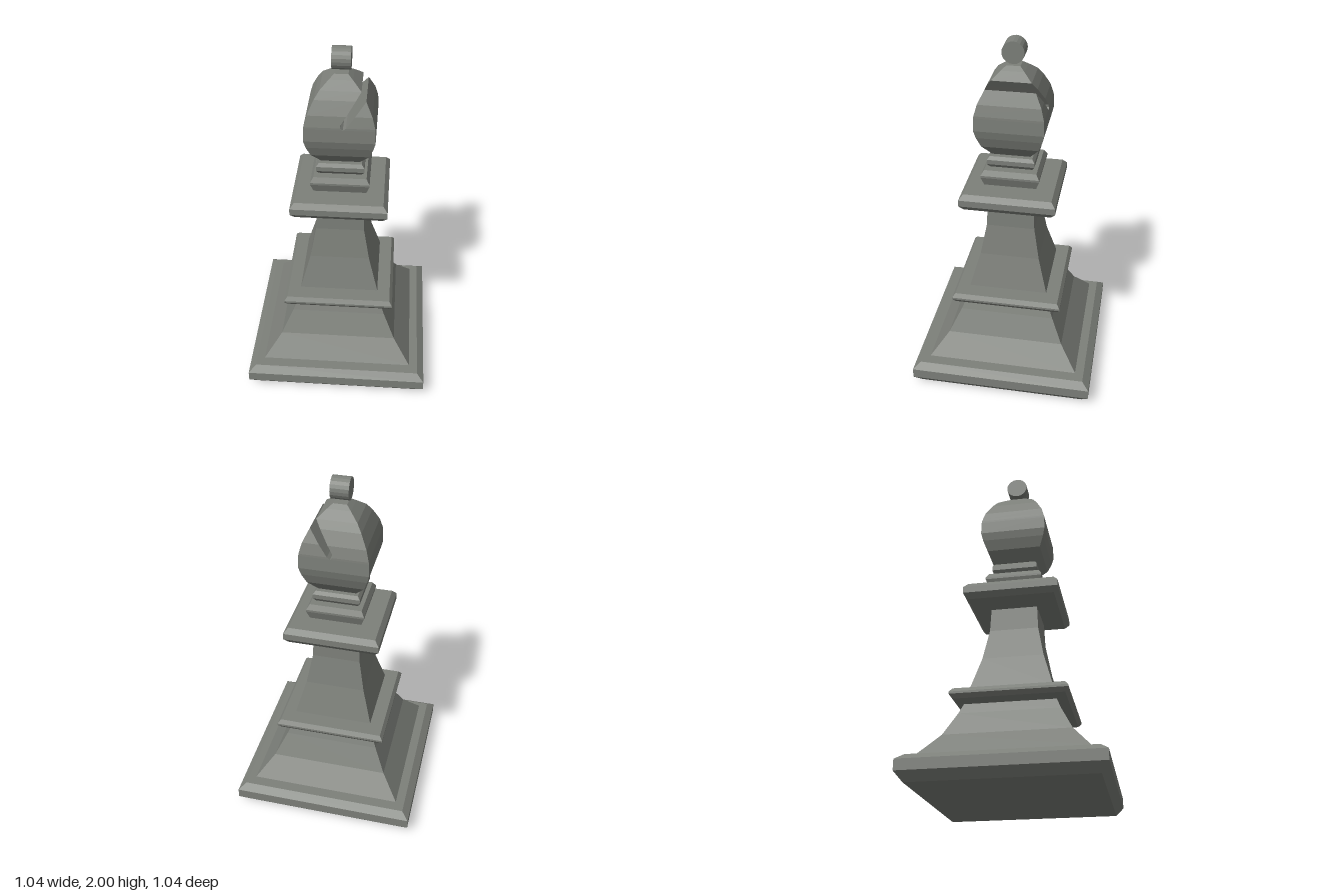
import * as THREE from 'three';

const stone = new THREE.MeshStandardMaterial({ color: 0x7d807a });
stone.name = 'stoneGrey';

// Faceted normals for any geometry
function facet(geometry) {
  const g = geometry.index ? geometry.toNonIndexed() : geometry;
  g.computeVertexNormals();
  return g;
}

// Square tier: a [halfWidth, y] profile swept round four sides, closed at both ends
function squareTier(profile) {
  const pts = profile.map(([w, y]) => new THREE.Vector2(w * Math.SQRT2, y));
  pts.unshift(new THREE.Vector2(0, profile[0][1]));
  pts.push(new THREE.Vector2(0, profile[profile.length - 1][1]));
  return facet(new THREE.LatheGeometry(pts, 4, Math.PI / 4));
}

const tiers = {
  base: [[0.48, 0], [0.52, 0.05], [0.52, 0.108], [0.48, 0.14]],
  skirt: [[0.432, 0.154], [0.335, 0.275], [0.27, 0.407], [0.247, 0.464]],
  lowerRing: [[0.298, 0.48], [0.315, 0.503], [0.315, 0.515], [0.298, 0.538]],
  stem: [[0.225, 0.554], [0.17, 0.75], [0.137, 0.93], [0.131, 1.064]],
  collar: [[0.243, 1.087], [0.267, 1.118], [0.267, 1.155], [0.243, 1.184]],
  lowerNeckRing: [[0.145, 1.2], [0.162, 1.25], [0.162, 1.262], [0.145, 1.291]],
  upperNeckRing: [[0.117, 1.302], [0.131, 1.322], [0.131, 1.348], [0.117, 1.366]],
};

// Head rows: [y, halfWidth, slotLeft, slotRight]
const headRows = [
  [1.375, 0.105], [1.44, 0.155], [1.5, 0.178], [1.545, 0.189],
  [1.618, 0.187, 0.018, 0.018], [1.63, 0.186, 0.004, 0.034],
  [1.645, 0.182, 0.005, 0.046], [1.69, 0.17, 0.034, 0.08],
  [1.762, 0.135, 0.081, 0.135], [1.803, 0.108, 0.108, 0.108],
  [1.843, 0.063], [1.864, 0.037],
];

// Rounded square head with a slanted slot cut through from front to back
function slottedHead(rows) {
  const pos = [];
  const quad = (a, b, c, d) => pos.push(...a, ...b, ...c, ...a, ...c, ...d);

  // One closed band of wall between two rows, spanning x0..x1 below and X0..X1 above
  const band = ([y, w], [Y, W], x0, x1, X0, X1) => {
    if (x1 - x0 + X1 - X0 < 1e-6) return;
    quad([x0, y, w], [x1, y, w], [X1, Y, W], [X0, Y, W]);
    quad([x1, y, -w], [x0, y, -w], [X0, Y, -W], [X1, Y, -W]);
    quad([x1, y, w], [x1, y, -w], [X1, Y, -W], [X1, Y, W]);
    quad([x0, y, -w], [x0, y, w], [X0, Y, W], [X0, Y, -W]);
  };

  for (let i = 0; i < rows.length - 1; i++) {
    const a = rows[i], b = rows[i + 1];
    if (a.length > 2 && b.length > 2) {
      band(a, b, -a[1], a[2], -b[1], b[2]);
      band(a, b, a[3], a[1], b[3], b[1]);
    } else {
      band(a, b, -a[1], a[1], -b[1], b[1]);
    }
  }

  // Bottom and top caps
  const [y, w] = rows[0], [Y, W] = rows[rows.length - 1];
  quad([-w, y, -w], [w, y, -w], [w, y, w], [-w, y, w]);
  quad([-W, Y, W], [W, Y, W], [W, Y, -W], [-W, Y, -W]);

  const g = new THREE.BufferGeometry();
  g.setAttribute('position', new THREE.Float32BufferAttribute(pos, 3));
  return facet(g);
}

export function createModel() {
  const model = new THREE.Group();
  model.name = 'squareChessBishop';
  const add = (name, geometry) => {
    const mesh = new THREE.Mesh(geometry, stone);
    mesh.name = name;
    model.add(mesh);
    return mesh;
  };

  for (const [name, profile] of Object.entries(tiers)) add(name, squareTier(profile));
  add('slottedHead', slottedHead(headRows));

  // Small drum lying sideways above the head
  const drum = new THREE.CylinderGeometry(0.061, 0.061, 0.1, 20).rotateZ(Math.PI / 2);
  add('finial', facet(drum)).position.y = 1.939;

  return model;
}
